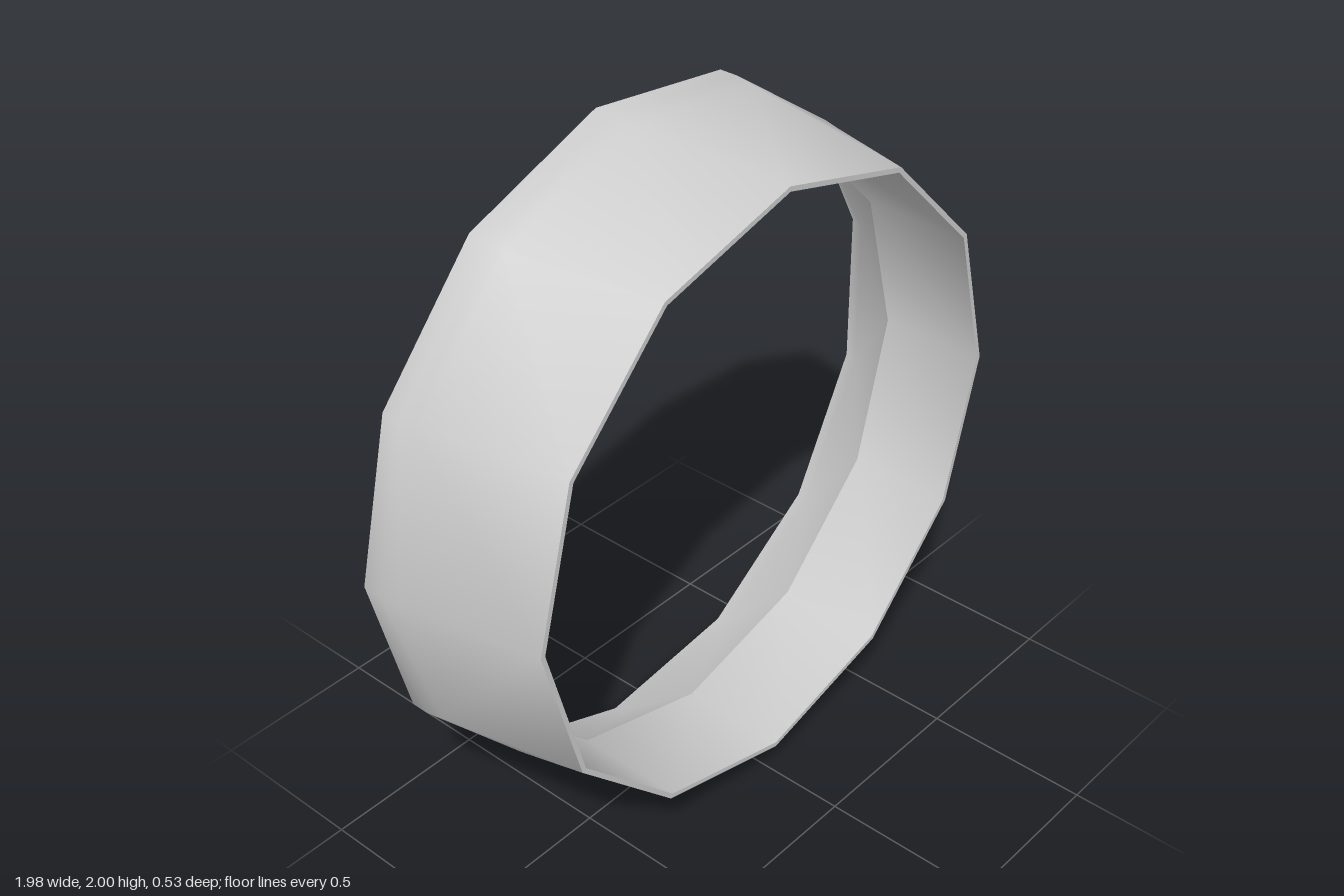
import * as THREE from 'three';

// Skin a row of polygonal rings [sides, radius, z]; neighbouring rings may differ in side count.
// Walking the rings front to back gives faces that look outward, back to front inward.
function loft(rings) {
  const pos = [], index = [], starts = [];
  for (const [n, r, z] of rings) {
    starts.push(pos.length / 3);
    for (let i = 0; i < n; i++) {
      const a = Math.PI + (i / n) * Math.PI * 2;
      pos.push(r * Math.cos(a), r * Math.sin(a), z);
    }
  }
  for (let k = 0; k < rings.length - 1; k++) {
    const n = rings[k][0], m = rings[k + 1][0];
    const A = (i) => starts[k] + (i % n), B = (j) => starts[k + 1] + (j % m);
    let i = 0, j = 0;
    // Always step along the ring that lags behind in angle
    while (i < n || j < m) {
      if (j >= m || (i < n && (i + 1) / n <= (j + 1) / m)) {
        index.push(A(i), B(j), A(i + 1));
        i++;
      } else {
        index.push(A(i), B(j), B(j + 1));
        j++;
      }
    }
  }
  const g = new THREE.BufferGeometry();
  g.setAttribute('position', new THREE.Float32BufferAttribute(pos, 3));
  g.setIndex(index);
  g.computeVertexNormals();
  return g;
}

export function createModel() {
  const group = new THREE.Group();
  group.name = 'ring';
  const material = new THREE.MeshStandardMaterial({ color: 0xcccccc });
  const front = 0.267, back = -0.267;

  const parts = {
    // Tapered outside, widening to the back and levelling off
    outerWall: [[12, 0.915, front], [13, 0.997, -0.16], [13, 1.007, -0.21], [13, 1.007, back]],
    // Thin flat front edge
    frontRim: [[12, 0.9, front], [12, 0.915, front]],
    // Straight bore
    innerWall: [[12, 0.9, -0.06], [12, 0.9, front]],
    // Bore flaring out to the thin back edge
    innerFlare: [[13, 1.007, back], [13, 0.988, -0.22], [12, 0.9, -0.06]],
  };
  for (const [name, rings] of Object.entries(parts)) {
    const mesh = new THREE.Mesh(loft(rings), material);
    mesh.name = name;
    mesh.position.set(0.012, 1, 0);
    group.add(mesh);
  }
  return group;
}
